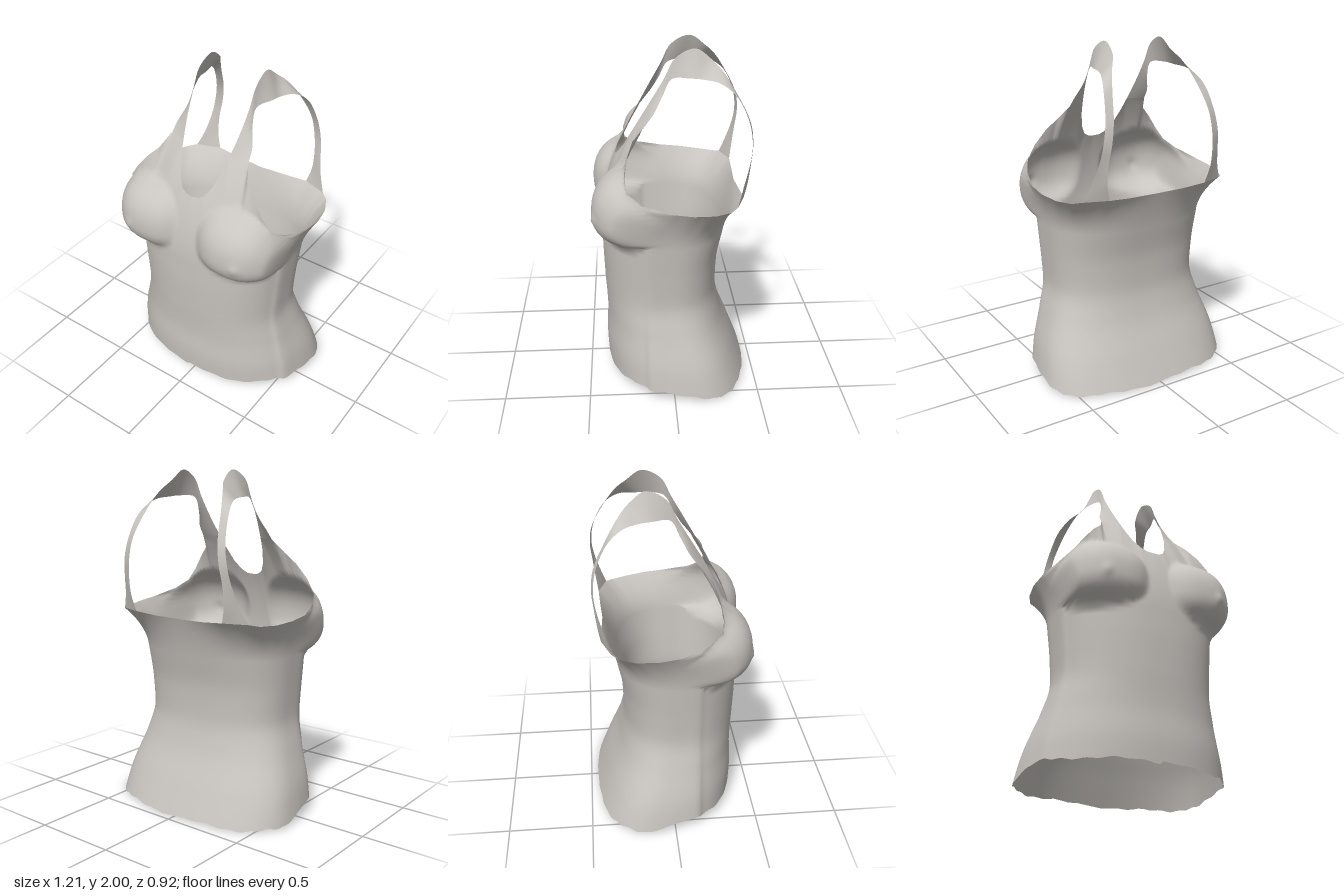
import * as THREE from 'three';

const V = (x, y, z) => new THREE.Vector3(x, y, z);
const { lerp, smoothstep, clamp, degToRad } = THREE.MathUtils;
const BLEND_Y = 0.95; // the torso rings end here, the cut edge takes over above

// (half width, front depth, back depth) at equal steps from y = 0 to BLEND_Y
const torso = new THREE.CatmullRomCurve3([
  V(0.61, 0.385, -0.46), V(0.575, 0.395, -0.385), V(0.515, 0.388, -0.31),
  V(0.472, 0.398, -0.275), V(0.483, 0.405, -0.282), V(0.5, 0.405, -0.32),
]);

// Upper cut edge from front centre to back centre: angle, x, y, z
const edge = [
  [0, 0, 1.36, 0.32], [5, 0.04, 1.364, 0.315], [9, 0.075, 1.385, 0.305], [14, 0.11, 1.44, 0.27],
  [19, 0.14, 1.53, 0.22], [23, 0.155, 1.6, 0.18], // neckline
  [31, 0.26, 1.6, 0.145], [37, 0.3, 1.52, 0.22], [45, 0.365, 1.455, 0.25],
  [53, 0.43, 1.37, 0.27], [62, 0.485, 1.29, 0.26], [72, 0.53, 1.24, 0.18],
  [85, 0.575, 1.2, 0.03], [98, 0.58, 1.185, -0.1], [110, 0.555, 1.175, -0.22],
  [123, 0.51, 1.175, -0.31], [133, 0.465, 1.185, -0.35], // armhole
  [146, 0.32, 1.185, -0.4], [161, 0.18, 1.175, -0.395], [180, 0, 1.17, -0.385],
];

// Strap edges from front to back
const strapInner = [
  V(0.155, 1.6, 0.18), V(0.175, 1.72, 0.11), V(0.185, 1.84, 0.04), V(0.187, 1.95, -0.02),
  V(0.182, 2.0, -0.13), V(0.19, 1.94, -0.22), V(0.23, 1.88, -0.28), V(0.27, 1.78, -0.345),
  V(0.31, 1.62, -0.425), V(0.33, 1.5, -0.44), V(0.345, 1.4, -0.43), V(0.345, 1.28, -0.415),
  V(0.32, 1.185, -0.4),
];
const strapOuter = [
  V(0.26, 1.6, 0.145), V(0.25, 1.66, 0.1), V(0.215, 1.75, 0.05), V(0.205, 1.84, 0),
  V(0.24, 1.85, -0.1), V(0.25, 1.845, -0.17), V(0.285, 1.83, -0.26), V(0.325, 1.76, -0.35),
  V(0.355, 1.62, -0.415), V(0.378, 1.5, -0.43), V(0.395, 1.4, -0.415), V(0.425, 1.28, -0.38),
  V(0.465, 1.185, -0.35),
];

// Surface through a grid of points; closed joins the last column to the first
function gridGeometry(rows, closed) {
  const n = rows[0].length, index = [];
  for (let r = 0; r < rows.length - 1; r++) {
    for (let c = 0; c < (closed ? n : n - 1); c++) {
      const d = (c + 1) % n;
      const a = r * n + c, b = r * n + d, e = a + n, f = b + n;
      index.push(a, b, f, a, f, e);
    }
  }
  const geo = new THREE.BufferGeometry().setFromPoints(rows.flat());
  geo.setIndex(index);
  geo.computeVertexNormals();
  return geo;
}

// Point on a rounded torso ring, widest towards the back at the hem
function ringPoint(deg, y) {
  const p = torso.getPoint(clamp(y / BLEND_Y, 0, 1));
  const a = degToRad(deg), c = Math.cos(a);
  const e = 2 / (c > 0 ? 2.3 : 2.5), zc = lerp(-0.1, 0.04, smoothstep(y, 0, 0.6));
  const s = Math.pow(Math.max(0, Math.sin(a)), e);
  const depth = c > 0 ? p.y - zc : zc - p.z;
  return V(p.x * s, y, zc + Math.sign(c) * depth * Math.pow(Math.abs(c), e));
}

// Push the front out to a broad dome over each breast, with a soft rim
function shapeBust(p) {
  if (p.z < 0) return;
  const dx = Math.abs(p.x - 0.27) / 0.27, dy = Math.abs(p.y - 1.1) / (p.y < 1.1 ? 0.2 : 0.28);
  const inside = Math.max(0, 1 - Math.pow(dx, 2.4) - Math.pow(dy, 2.4));
  const over = 0.16 + 0.3 * Math.sqrt(inside) - p.z;
  const k = 0.025, soft = Math.max(0, k - Math.abs(over));
  const swell = (Math.max(0, over) + soft * soft / (4 * k)) * smoothstep(p.z, 0.02, 0.2);
  const tip = 0.012 * Math.exp(-((p.x - 0.36) ** 2 + (p.y - 1.09) ** 2) / 0.0008);
  p.z += swell + tip;
  p.x += swell * 0.1;
}

// Uneven hem, a little higher at the front
function hemHeight(deg, side) {
  const ragged = 0.006 * Math.sin(deg * 0.13 + side) + 0.004 * Math.sin(deg * 0.41 + 2 * side);
  return lerp(0.068, 0.012, smoothstep(deg, 75, 105)) + ragged;
}

function bodyColumn(deg, top, side) {
  const column = [], hem = hemHeight(deg, side);
  for (let i = 0; i < 26; i++) column.push(ringPoint(deg, lerp(hem, BLEND_Y, i / 26)));
  // Curve smoothly from the last ring up to the cut edge
  const base = ringPoint(deg, BLEND_Y);
  const slope = base.clone().sub(ringPoint(deg, BLEND_Y - 0.1)).multiplyScalar(10);
  const control = base.clone().addScaledVector(slope, (top.y - BLEND_Y) / 2);
  const rise = new THREE.QuadraticBezierCurve3(base, control, top);
  for (let i = 0; i <= 24; i++) column.push(rise.getPoint(i / 24));
  column.forEach((p, i) => {
    if (i < column.length - 1) shapeBust(p);
    p.x *= side;
  });
  return column;
}

function bodyGeometry() {
  const half = [], SUB = 4;
  for (let i = 0; i < edge.length - 1; i++) {
    for (let s = 0; s < SUB; s++) half.push(edge[i].map((q, k) => lerp(q, edge[i + 1][k], s / SUB)));
  }
  half.push(edge[edge.length - 1]);
  const column = ([deg, x, y, z], side) => bodyColumn(deg, V(x, y, z), side);
  const columns = half.map((h) => column(h, 1));
  for (let i = half.length - 2; i > 0; i--) columns.push(column(half[i], -1));
  return gridGeometry(columns[0].map((_, r) => columns.map((c) => c[r])), true);
}

function strapGeometry(side) {
  const inner = new THREE.CatmullRomCurve3(strapInner), outer = new THREE.CatmullRomCurve3(strapOuter);
  const rows = [];
  for (let i = 0; i <= 60; i++) {
    const a = inner.getPoint(i / 60), b = outer.getPoint(i / 60), row = [];
    for (let j = 0; j <= 4; j++) {
      const p = a.clone().lerp(b, j / 4);
      row.push(V(p.x * side, p.y, p.z));
    }
    rows.push(side > 0 ? row : row.reverse());
  }
  return gridGeometry(rows, false);
}

export function createModel() {
  const group = new THREE.Group();
  group.name = 'tankTop';
  const fabric = new THREE.MeshStandardMaterial({ color: 0xc8c4bf, side: THREE.DoubleSide });
  fabric.name = 'grey fabric';
  const add = (name, geometry) => {
    const mesh = new THREE.Mesh(geometry, fabric);
    mesh.name = name;
    group.add(mesh);
  };
  add('body', bodyGeometry());
  add('leftStrap', strapGeometry(1));
  add('rightStrap', strapGeometry(-1));
  return group;
}
